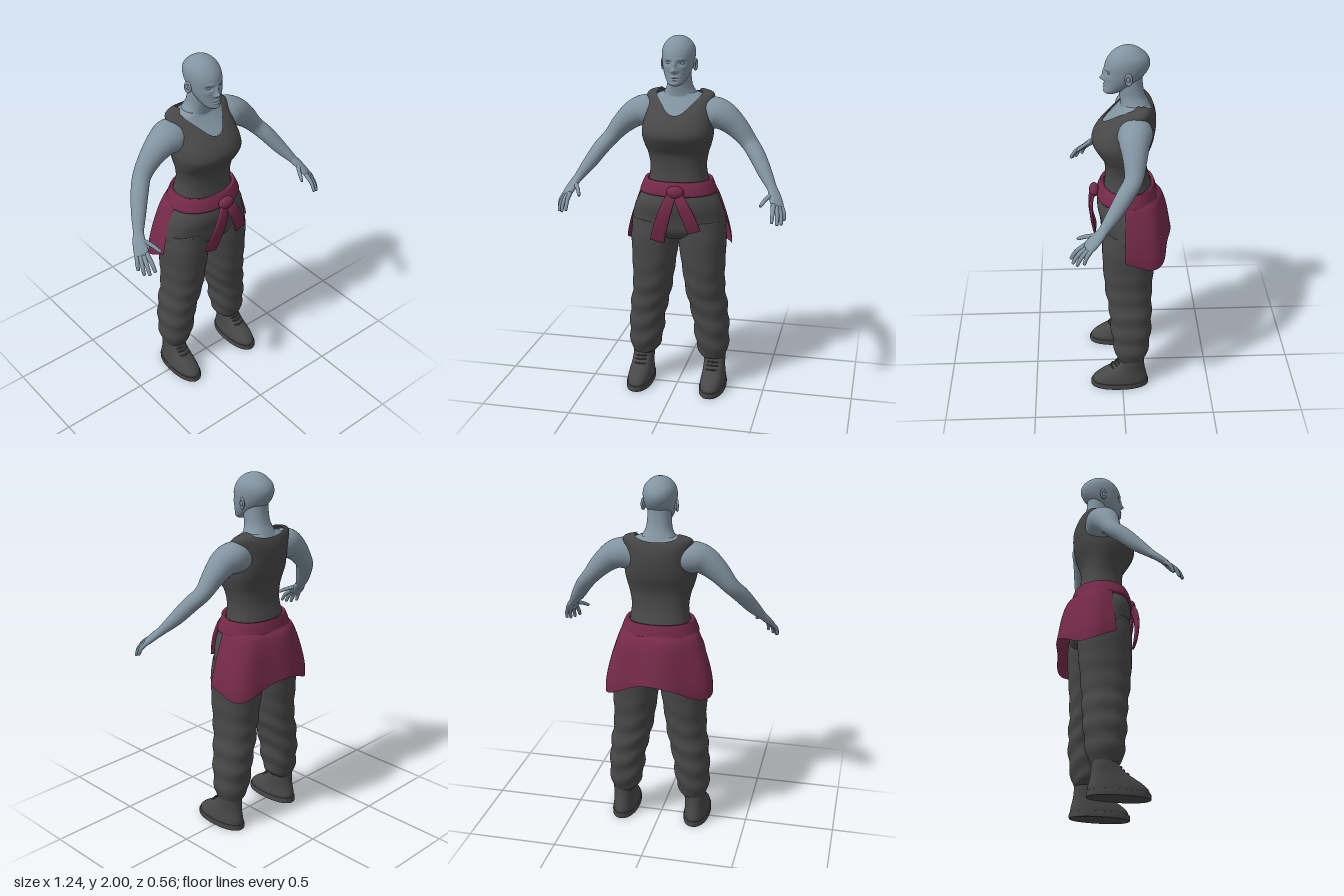
import * as THREE from 'three';

const mat = (name, color, side = THREE.FrontSide) => {
  const m = new THREE.MeshStandardMaterial({ color, side });
  m.name = name;
  return m;
};
const skin = mat('skin', 0x8294a1);
const cloth = mat('charcoalCloth', 0x484848, THREE.DoubleSide);
const wine = mat('wineCloth', 0x752a49, THREE.DoubleSide);
const RAD = Math.PI / 180;
const pw = (v, p) => Math.sign(v) * Math.abs(v) ** (2 / p);
const gauss = (d, s) => Math.exp(-(d / s) * (d / s));

// Surface from m+1 rows of n points; flip reverses the faces of mirrored parts
function grid(m, n, fn, { wrap = true, caps = true, flip = false } = {}) {
  const pos = [], idx = [], w = wrap ? n : n + 1;
  const tri = (a, b, c) => (flip ? idx.push(a, c, b) : idx.push(a, b, c));
  for (let i = 0; i <= m; i++) for (let j = 0; j < w; j++) pos.push(...fn(i / m, j / n));
  for (let i = 0; i < m; i++) for (let j = 0; j < n; j++) {
    const a = i * w + j, b = i * w + (j + 1) % w;
    tri(a, b, b + w);
    tri(a, b + w, a + w);
  }
  if (wrap && caps) for (const row of [0, m]) {
    const c = [0, 0, 0], k = pos.length / 3;
    for (let j = 0; j < n; j++) for (let q = 0; q < 3; q++) c[q] += pos[(row * w + j) * 3 + q] / n;
    pos.push(...c);
    for (let j = 0; j < n; j++) {
      const a = row * w + j, b = row * w + (j + 1) % n;
      row ? tri(a, b, k) : tri(b, a, k);
    }
  }
  const g = new THREE.BufferGeometry();
  g.setAttribute('position', new THREE.Float32BufferAttribute(pos, 3));
  g.setIndex(idx);
  g.computeVertexNormals();
  return g;
}

// Smooth interpolation through a list of equal-length rows, t in 0..1
function at(rows, t) {
  const k = rows.length - 1, f = Math.min(Math.max(t, 0), 1) * k;
  const i = Math.min(Math.floor(f), k - 1), u = f - i;
  const [a, b, c, d] = [-1, 0, 1, 2].map(o => rows[Math.min(Math.max(i + o, 0), k)]);
  return b.map((v, q) => v + 0.5 * u * (c[q] - a[q] + u * (2 * a[q] - 5 * v + 4 * c[q] - d[q]
    + u * (3 * (v - c[q]) + d[q] - a[q]))));
}
function findT(rows, y) {
  let lo = 0, hi = 1;
  for (let k = 0; k < 22; k++) {
    const mid = (lo + hi) / 2;
    if (at(rows, mid)[0] < y) lo = mid; else hi = mid;
  }
  return hi;
}

// Horizontal sections [y, centreX, halfWidth, frontZ, backZ]; angle 0 faces front
function loft(rows, { m = 40, n = 48, p = 2.2, s = 1, from, to, a0 = 0, a1 = 360, caps = true, mod } = {}) {
  return grid(m, n, (v, u) => {
    const th = (a0 + (a1 - a0) * u) * RAD;
    const t0 = from ? findT(rows, from(th)) : 0, t1 = to ? findT(rows, to(th)) : 1;
    const [y, cx, rx, zf, zb] = at(rows, t0 + (t1 - t0) * v);
    const q = [cx + rx * pw(Math.sin(th), p), y, (zf + zb) / 2 + (zf - zb) / 2 * pw(Math.cos(th), p)];
    if (mod) mod(q, th, v);
    q[0] *= s;
    return q;
  }, { wrap: a1 - a0 === 360, caps, flip: s < 0 });
}

// Tapered tube through [x, y, z, sideRadius, normalRadius]
function limb(pts, ref, { m = 24, n = 20, p = 2, s = 1 } = {}) {
  const R = new THREE.Vector3(...ref), V = a => new THREE.Vector3(a[0], a[1], a[2]);
  return grid(m, n, (v, u) => {
    const c = at(pts, v), a = u * 2 * Math.PI;
    const t = V(at(pts, v + 0.01)).sub(V(at(pts, v - 0.01))).normalize();
    const side = t.clone().cross(R).normalize(), nrm = t.clone().cross(side);
    const q = V(c).addScaledVector(side, c[3] * pw(Math.cos(a), p)).addScaledVector(nrm, c[4] * pw(Math.sin(a), p));
    return [q.x * s, q.y, q.z];
  }, { flip: s < 0 });
}

export function createModel() {
  const model = new THREE.Group();
  model.name = 'figure';
  const add = (name, geo, material) => {
    const mesh = new THREE.Mesh(geo, material);
    mesh.name = name;
    model.add(mesh);
    return mesh;
  };

  // Head with the face pushed out and in by small bumps [x, y, sx, sy, depth]
  const face = [
    [0, 1.828, 0.012, 0.013, 0.022], [0, 1.856, 0.009, 0.022, 0.011], [0.013, 1.824, 0.007, 0.007, 0.008],
    [0.036, 1.866, 0.017, 0.011, -0.011], [0.032, 1.886, 0.022, 0.007, 0.004], [0.05, 1.84, 0.016, 0.014, 0.003],
    [0, 1.793, 0.021, 0.005, 0.008], [0, 1.779, 0.017, 0.005, 0.007], [0, 1.786, 0.024, 0.002, -0.004],
    [0, 1.757, 0.016, 0.009, 0.004]];
  const headRows = [[1.745, 0, 0.022, 0.08, 0.035], [1.757, 0, 0.042, 0.088, 0], [1.79, 0, 0.063, 0.085, -0.055],
    [1.83, 0, 0.078, 0.085, -0.105], [1.87, 0, 0.086, 0.085, -0.138], [1.91, 0, 0.089, 0.08, -0.15],
    [1.945, 0, 0.082, 0.062, -0.138], [1.975, 0, 0.06, 0.033, -0.107], [1.993, 0, 0.033, 0, -0.075],
    [2.0, 0, 0.003, -0.034, -0.042]];
  add('head', loft(headRows, { m: 100, n: 112, p: 2.05, mod: q => {
    if (q[2] < 0) return;
    const x = Math.abs(q[0]);
    q[2] += face.reduce((sum, [fx, fy, sx, sy, d]) => sum + d * gauss(x - fx, sx) * gauss(q[1] - fy, sy), 0);
  } }), skin);
  add('neck', loft([[1.6, 0, 0.13, -0.01, -0.16], [1.66, 0, 0.115, 0, -0.16], [1.7, 0, 0.085, 0.003, -0.143],
    [1.735, 0, 0.069, 0.008, -0.126], [1.78, 0, 0.064, 0.014, -0.115], [1.84, 0, 0.06, 0.01, -0.11]]), skin);

  // Upper chest under the neckline, and the sleeveless top
  add('chest', loft([[1.5, 0, 0.17, 0.135, -0.16], [1.57, 0, 0.172, 0.096, -0.172], [1.63, 0, 0.168, 0.04, -0.17],
    [1.67, 0, 0.145, 0.006, -0.157], [1.695, 0, 0.095, -0.005, -0.14]], { p: 2.3 }), skin);
  const topRows = [[1.16, 0, 0.175, 0.1, -0.17], [1.22, 0, 0.164, 0.09, -0.163], [1.3, 0, 0.155, 0.085, -0.142],
    [1.37, 0, 0.166, 0.094, -0.138], [1.42, 0, 0.182, 0.125, -0.148], [1.475, 0, 0.194, 0.154, -0.168],
    [1.525, 0, 0.192, 0.144, -0.179], [1.58, 0, 0.184, 0.104, -0.185], [1.635, 0, 0.183, 0.045, -0.182],
    [1.675, 0, 0.187, -0.005, -0.17], [1.697, 0, 0.165, -0.045, -0.155], [1.71, 0, 0.11, -0.06, -0.145]];
  const neckline = th => {
    const d = Math.min(th, 2 * Math.PI - th);
    return 1.71 - 0.12 * gauss(d, 31 * RAD) - 0.03 * gauss(Math.PI - d, 40 * RAD);
  };
  add('tankTop', loft(topRows, { m: 64, n: 96, p: 2.3, to: neckline, caps: false }), cloth);

  // Trousers: hips here, legs below
  add('trouserHips', loft([[0.885, 0, 0.1, 0.02, -0.11], [0.905, 0, 0.2, 0.075, -0.16], [0.95, 0, 0.262, 0.108, -0.19],
    [1.02, 0, 0.258, 0.117, -0.2], [1.09, 0, 0.238, 0.13, -0.2], [1.15, 0, 0.203, 0.12, -0.18],
    [1.21, 0, 0.165, 0.085, -0.16]]), cloth);
  const legRows = [[0.172, 0.21, 0.056, 0.01, -0.118], [0.182, 0.206, 0.068, 0.03, -0.13],
    [0.22, 0.198, 0.086, 0.042, -0.143], [0.3, 0.192, 0.097, 0.055, -0.156], [0.4, 0.185, 0.1, 0.065, -0.164],
    [0.5, 0.168, 0.107, 0.073, -0.165], [0.6, 0.151, 0.111, 0.09, -0.166], [0.7, 0.144, 0.118, 0.1, -0.172],
    [0.8, 0.138, 0.127, 0.106, -0.18], [0.9, 0.133, 0.135, 0.108, -0.186], [1.0, 0.125, 0.13, 0.1, -0.18]];
  const folds = (q, th) => {
    const amount = 0.004 * Math.min(1, Math.max(0, (0.85 - q[1]) * 3));
    const f = amount * Math.sin(q[1] * 52 + 2 * Math.sin(th) + Math.cos(2 * th));
    q[0] += f * Math.sin(th);
    q[2] += f * Math.cos(th);
  };
  const armRef = [0.49, 0.77, 0.44];
  const armPts = [[0.12, 1.575, -0.065, 0.085, 0.08], [0.19, 1.585, -0.065, 0.094, 0.083], [0.25, 1.567, -0.06, 0.08, 0.075],
    [0.32, 1.51, -0.058, 0.062, 0.06], [0.385, 1.435, -0.048, 0.049, 0.045], [0.435, 1.375, -0.005, 0.046, 0.043],
    [0.485, 1.3, 0.05, 0.039, 0.037], [0.53, 1.235, 0.105, 0.028, 0.024], [0.545, 1.212, 0.125, 0.028, 0.02]];
  const palmPts = [[0.53, 1.235, 0.105, 0.026, 0.022], [0.55, 1.205, 0.135, 0.033, 0.019], [0.565, 1.175, 0.168, 0.038, 0.017],
    [0.575, 1.155, 0.19, 0.034, 0.013], [0.579, 1.148, 0.197, 0.015, 0.005]];
  const digits = { // base, middle joint, tip
    indexFinger: [0.553, 1.165, 0.2, 0.556, 1.13, 0.247, 0.555, 1.09, 0.273],
    middleFinger: [0.568, 1.157, 0.195, 0.58, 1.118, 0.24, 0.582, 1.078, 0.264],
    ringFinger: [0.58, 1.155, 0.183, 0.597, 1.116, 0.222, 0.602, 1.076, 0.243],
    littleFinger: [0.588, 1.16, 0.167, 0.608, 1.125, 0.194, 0.613, 1.09, 0.208],
    thumb: [0.545, 1.21, 0.14, 0.513, 1.19, 0.19, 0.492, 1.165, 0.235] };

  for (const [side, s] of [['left', 1], ['right', -1]]) {
    add(side + 'TrouserLeg', loft(legRows, { m: 90, n: 48, s, mod: folds }), cloth);

    // Boot, sole and laces
    add(side + 'Boot', loft([[0.025, 0.212, 0.069, 0.173, -0.143], [0.05, 0.212, 0.069, 0.168, -0.143],
      [0.08, 0.212, 0.065, 0.135, -0.137], [0.11, 0.211, 0.061, 0.085, -0.13], [0.14, 0.21, 0.06, 0.042, -0.126],
      [0.17, 0.21, 0.06, 0.017, -0.124], [0.2, 0.21, 0.058, 0.01, -0.122]], { s }), cloth);
    add(side + 'Sole', loft([[0, 0.212, 0.071, 0.177, -0.147], [0.004, 0.212, 0.074, 0.181, -0.15],
      [0.028, 0.212, 0.074, 0.181, -0.15], [0.032, 0.212, 0.07, 0.176, -0.146]], { m: 12, s }), cloth);
    for (const [y, z] of [[0.125, 0.066], [0.142, 0.044], [0.158, 0.03]])
      add(side + 'Lace', limb([[0.178, y, z - 0.012, 0.004, 0.004], [0.21, y + 0.003, z, 0.005, 0.005],
        [0.242, y, z - 0.012, 0.004, 0.004]], [0, 1, 0], { m: 8, n: 8, s }), cloth);

    // Arm and hand
    add(side + 'Arm', limb(armPts, armRef, { m: 48, n: 32, s }), skin);
    add(side + 'Palm', limb(palmPts, armRef, { s, p: 2.3 }), skin);
    for (const [name, d] of Object.entries(digits)) {
      const [a, b, c] = [d.slice(0, 3), d.slice(3, 6), d.slice(6)];
      const e = c.map((v, k) => v + (v - b[k]) * 0.12);
      add(side + name[0].toUpperCase() + name.slice(1), limb([[...a, 0.013, 0.012], [...b, 0.011, 0.0105],
        [...c, 0.0085, 0.008], [...e, 0.002, 0.002]], armRef, { m: 16, n: 12, s }), skin);
    }

    // Ear and eye
    const ear = add(side + 'Ear', new THREE.TorusGeometry(0.018, 0.007, 10, 24), skin);
    ear.scale.set(0.85, 1.35, 0.9);
    ear.position.set(s * 0.09, 1.848, -0.036);
    ear.rotation.y = s * (Math.PI / 2 - 0.35);
    const lobe = add(side + 'EarBowl', new THREE.SphereGeometry(0.018, 16, 12), skin);
    lobe.scale.set(0.5, 1.2, 0.8);
    lobe.position.set(s * 0.084, 1.846, -0.034);
    const eye = add(side + 'Eye', new THREE.SphereGeometry(0.013, 20, 14), skin);
    eye.scale.set(1.1, 0.7, 0.7);
    eye.position.set(s * 0.036, 1.866, 0.061);
  }

  // Garment tied round the waist: band, draped back, knot and two tails
  add('waistBand', loft([[1.15, 0, 0.195, 0.115, -0.18], [1.157, 0, 0.213, 0.134, -0.197], [1.19, 0, 0.203, 0.128, -0.192],
    [1.222, 0, 0.189, 0.114, -0.183], [1.23, 0, 0.182, 0.107, -0.178], [1.225, 0, 0.168, 0.094, -0.165]],
    { m: 24, n: 64, caps: false }), wine);
  const hem = th => 0.865 + 0.045 * Math.cos(3 * (th - Math.PI));
  add('drapedBack', loft([[0.8, 0, 0.308, 0.18, -0.274], [0.88, 0, 0.305, 0.18, -0.274], [0.97, 0, 0.285, 0.165, -0.262],
    [1.07, 0, 0.252, 0.15, -0.245], [1.14, 0, 0.225, 0.135, -0.222], [1.17, 0, 0.207, 0.125, -0.196],
    [1.19, 0, 0.195, 0.12, -0.185]], { m: 40, n: 90, a0: 82, a1: 278, from: hem, mod: (q, th, v) => {
      const f = 0.012 * (1 - v) * Math.sin(6 * th + 0.6);
      q[0] += f * Math.sin(th);
      q[2] += f * Math.cos(th);
    } }), wine);
  const knot = add('knot', new THREE.SphereGeometry(0.042, 28, 20), wine);
  knot.scale.set(1.15, 0.85, 0.65);
  knot.position.set(0.018, 1.185, 0.146);
  const tail = (name, pts) => add(name, limb(pts, [0, 0, 1], { m: 28, n: 28, p: 3.5 }), wine);
  tail('rightTail', [[0.01, 1.19, 0.138, 0.02, 0.008], [-0.012, 1.14, 0.162, 0.03, 0.01], [-0.04, 1.06, 0.168, 0.036, 0.009],
    [-0.064, 0.98, 0.158, 0.039, 0.008], [-0.083, 0.905, 0.141, 0.041, 0.007]]);
  tail('leftTail', [[0.02, 1.19, 0.138, 0.02, 0.008], [0.05, 1.14, 0.16, 0.03, 0.01], [0.08, 1.08, 0.164, 0.035, 0.009],
    [0.105, 1.02, 0.156, 0.037, 0.008], [0.123, 0.967, 0.143, 0.037, 0.007]]);

  return model;
}
